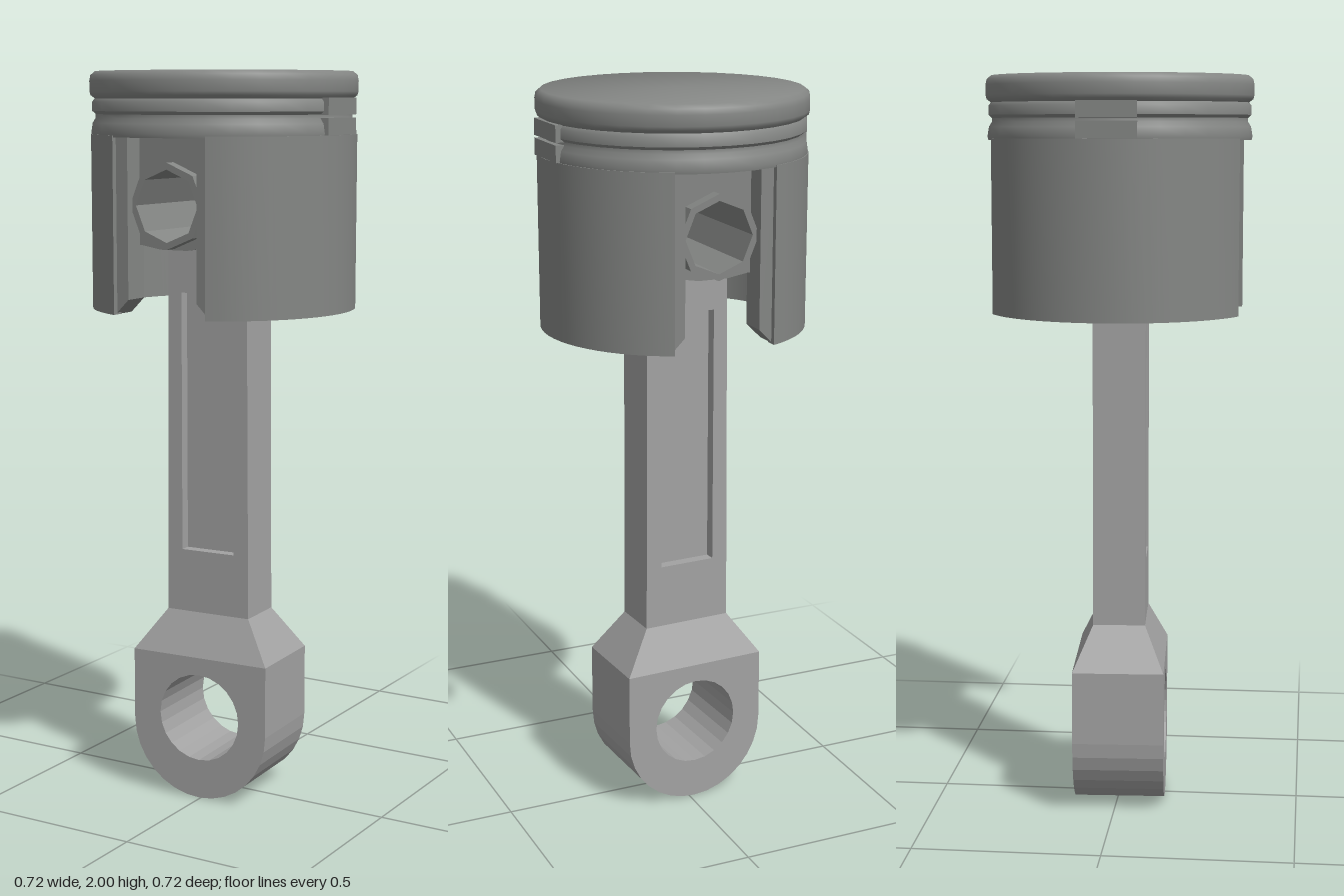
import * as THREE from 'three';
import { toCreasedNormals } from 'three/addons/utils/BufferGeometryUtils.js';

const pistonSmooth = new THREE.MeshStandardMaterial({ color: 0x848684, side: THREE.DoubleSide });
const pistonFlat = new THREE.MeshStandardMaterial({ color: 0x848684, flatShading: true });
const rodFlat = new THREE.MeshStandardMaterial({ color: 0xa2a2a2, flatShading: true });
const PIN_Y = 1.655;

function add(group, name, geometry, material) {
  const mesh = new THREE.Mesh(geometry, material);
  mesh.name = name;
  group.add(mesh);
  return mesh;
}

const polygon = (pts) => new THREE.Shape(pts.map(([x, y]) => new THREE.Vector2(x, y)));

function ringPoints(radius, cy, sides) {
  return Array.from({ length: sides }, (_, i) => {
    const a = (i / sides) * Math.PI * 2;
    return [radius * Math.cos(a), cy + radius * Math.sin(a)];
  });
}

// Extrusion centred on z = 0
function slab(shape, depth) {
  return new THREE.ExtrudeGeometry(shape, { depth, bevelEnabled: false, curveSegments: 8 })
    .translate(0, 0, -depth / 2);
}

function createPiston() {
  const piston = new THREE.Group();
  piston.name = 'piston';

  // Crown with two shallow ring grooves and a closed underside
  const profile = [
    [0, 1.83], [0.354, 1.83], [0.356, 1.84], [0.352, 1.865], [0.344, 1.878],
    [0.344, 1.888], [0.353, 1.896], [0.353, 1.92], [0.346, 1.929], [0.357, 1.937],
    [0.36, 1.947], [0.36, 1.975], [0.357, 1.99], [0.345, 2], [0, 2],
  ].map(([r, y]) => new THREE.Vector2(r, y));
  add(piston, 'crown', toCreasedNormals(new THREE.LatheGeometry(profile, 32), 0.7), pistonSmooth);

  for (const side of [1, -1]) {
    // Blocks bridging the ring grooves
    for (const y of [1.858, 1.909]) {
      add(piston, 'ringGapBlock', new THREE.BoxGeometry(0.03, 0.044, 0.155), pistonFlat)
        .position.set(side * 0.342, y, 0);
    }

    // Curved skirt wall, open towards front and back
    const outer = Math.acos(0.14 / 0.357);
    const inner = Math.acos(0.14 / 0.325);
    const wall = new THREE.Shape();
    wall.absarc(0, 0, 0.357, -outer, outer, false);
    wall.absarc(0, 0, 0.325, inner, -inner, true);
    const skirt = new THREE.ExtrudeGeometry(wall, { depth: 0.465, bevelEnabled: false, curveSegments: 12 });
    skirt.rotateX(-Math.PI / 2).translate(0, 1.37, 0);
    if (side < 0) skirt.rotateY(Math.PI);
    add(piston, 'skirt', toCreasedNormals(skirt, 0.6), pistonSmooth);

    // Lips thickening the skirt edges beside the opening
    for (const end of [1, -1]) {
      const lip = polygon([[0.145, 1.37], [0.145, 1.835], [0.105, 1.835], [0.105, 1.41]]
        .map(([x, y]) => [side * x, y]));
      add(piston, 'skirtLip', slab(lip, 0.075), pistonFlat).position.z = end * 0.275;
    }

    // Pin support between the skirts, with the pin bore
    const support = polygon([
      [-0.15, 1.55], [-0.1, 1.55], [-0.04, 1.54], [0.04, 1.54],
      [0.1, 1.55], [0.15, 1.55], [0.15, 1.835], [-0.15, 1.835],
    ]);
    support.holes.push(polygon(ringPoints(0.1, PIN_Y, 8)));
    add(piston, 'pinSupport', slab(support, 0.14), pistonFlat).position.z = side * 0.185;
  }

  // Hollow eight-sided pin
  const pin = polygon(ringPoints(0.112, PIN_Y, 8));
  pin.holes.push(polygon(ringPoints(0.094, PIN_Y, 8)));
  add(piston, 'pin', slab(pin, 0.58), pistonFlat);
  return piston;
}

function createRod() {
  const rod = new THREE.Group();
  rod.name = 'connectingRod';

  // Big end: faceted below, bored through
  const end = new THREE.Shape();
  end.moveTo(0.206, 0.405);
  end.lineTo(-0.206, 0.405);
  end.absarc(0, 0.206, 0.206, Math.PI, Math.PI * 2, false);
  end.closePath();
  end.holes.push(polygon(ringPoints(0.123, 0.233, 24)));
  add(rod, 'bigEnd', slab(end, 0.248), rodFlat);

  // Shoulder tapering from the big end to the shaft
  const shoulder = new THREE.BoxGeometry(0.412, 0.115, 0.248).translate(0, 0.4625, 0);
  const p = shoulder.attributes.position;
  for (let i = 0; i < p.count; i++) {
    if (p.getY(i) > 0.46) {
      p.setX(i, Math.sign(p.getX(i)) * 0.126);
      p.setZ(i, Math.sign(p.getZ(i)) * 0.071);
    }
  }
  add(rod, 'shoulder', shoulder, rodFlat);

  // Shaft with small end, framing a panel
  const shaft = polygon([
    [-0.126, 0.52], [0.126, 0.52], [0.119, 1.55], [0.115, 1.7],
    [0.08, 1.76], [-0.08, 1.76], [-0.115, 1.7], [-0.119, 1.55],
  ]);
  shaft.holes.push(
    polygon([[-0.08, 0.695], [0.08, 0.695], [0.08, 1.41], [-0.08, 1.41]]),
    polygon(ringPoints(0.105, PIN_Y, 8)),
  );
  add(rod, 'shaft', slab(shaft, 0.142), rodFlat);

  // Recessed panel, seen on both faces
  add(rod, 'recessedPanel', new THREE.BoxGeometry(0.17, 0.73, 0.08), rodFlat).position.y = 1.0525;

  // The rod sits slightly turned on its axis
  rod.rotation.y = 0.05;
  rod.position.set(-0.011, 0, 0.005);
  return rod;
}

export function createModel() {
  const model = new THREE.Group();
  model.name = 'pistonAndRod';
  model.add(createPiston(), createRod());
  return model;
}
